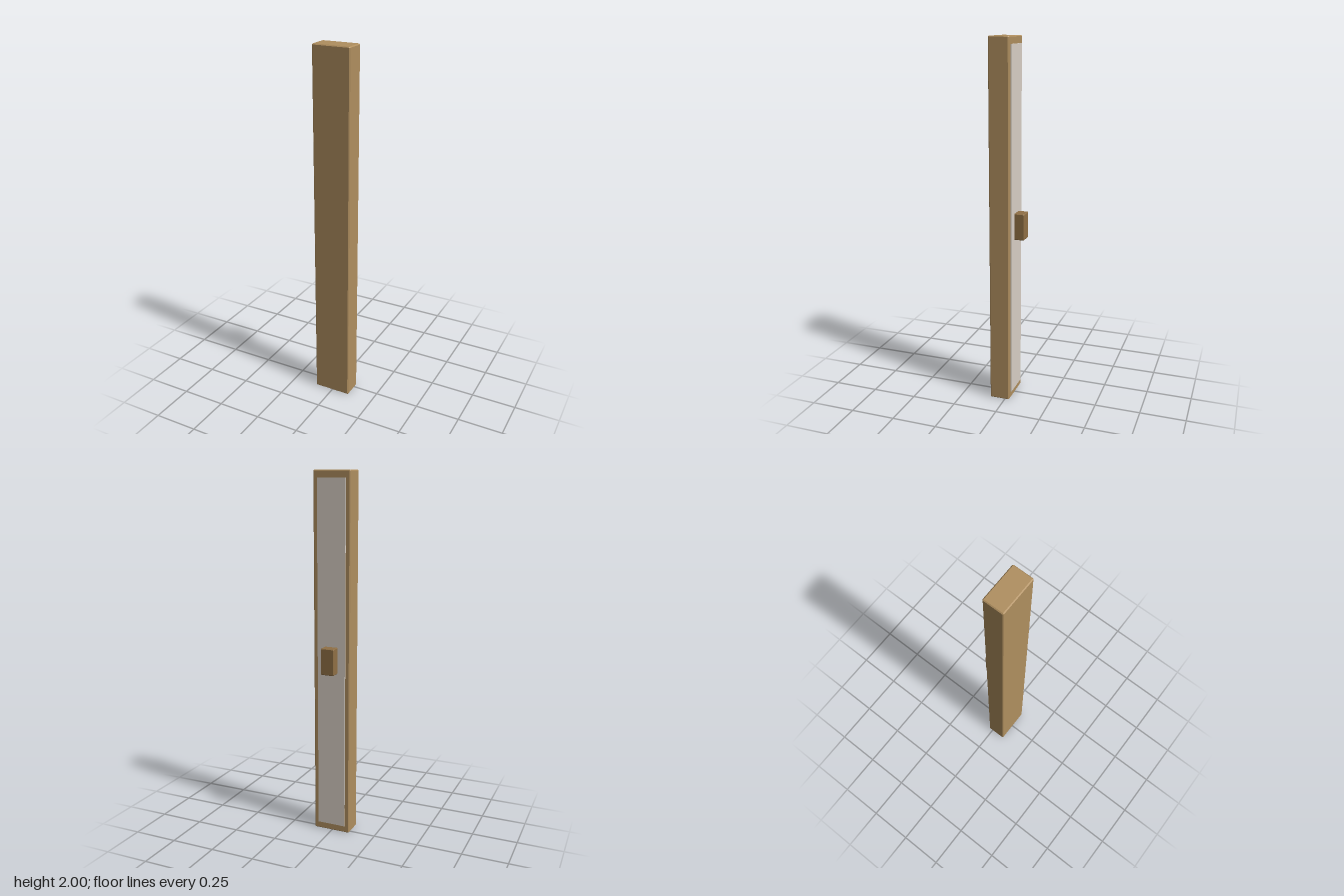
import * as THREE from 'three';
import { ConvexGeometry } from 'three/addons/geometries/ConvexGeometry.js';

// Box with every edge chamfered by c, given by its centre and size
function chamferBox(name, color, [x, y, z], [w, h, d], c) {
  const points = [];
  for (const sx of [-1, 1]) for (const sy of [-1, 1]) for (const sz of [-1, 1]) {
    const half = [w / 2, h / 2, d / 2];
    for (let axis = 0; axis < 3; axis++) {
      const p = half.map((v, i) => (i === axis ? v : v - c));
      points.push(new THREE.Vector3(p[0] * sx, p[1] * sy, p[2] * sz));
    }
  }
  const mesh = new THREE.Mesh(new ConvexGeometry(points), new THREE.MeshStandardMaterial({ color }));
  mesh.name = name;
  mesh.position.set(x, y, z);
  return mesh;
}

export function createModel() {
  const group = new THREE.Group();
  group.name = 'panelWithHandle';

  // Tall wooden slab
  group.add(chamferBox('body', 0xb08f5f, [0, 1, 0.03], [0.21, 2, 0.112], 0.005));

  // Thin pale sheet on the back
  const sheet = new THREE.Mesh(
    new THREE.BoxGeometry(0.16, 1.92, 0.012),
    new THREE.MeshStandardMaterial({ color: 0xd9d0c6 })
  );
  sheet.name = 'backSheet';
  sheet.position.set(0, 1, -0.027);
  group.add(sheet);

  // Darker block handle, its front end sunk into the sheet
  group.add(chamferBox('handle', 0x907045, [0, 1.003, -0.058], [0.074, 0.145, 0.06], 0.003));

  return group;
}
